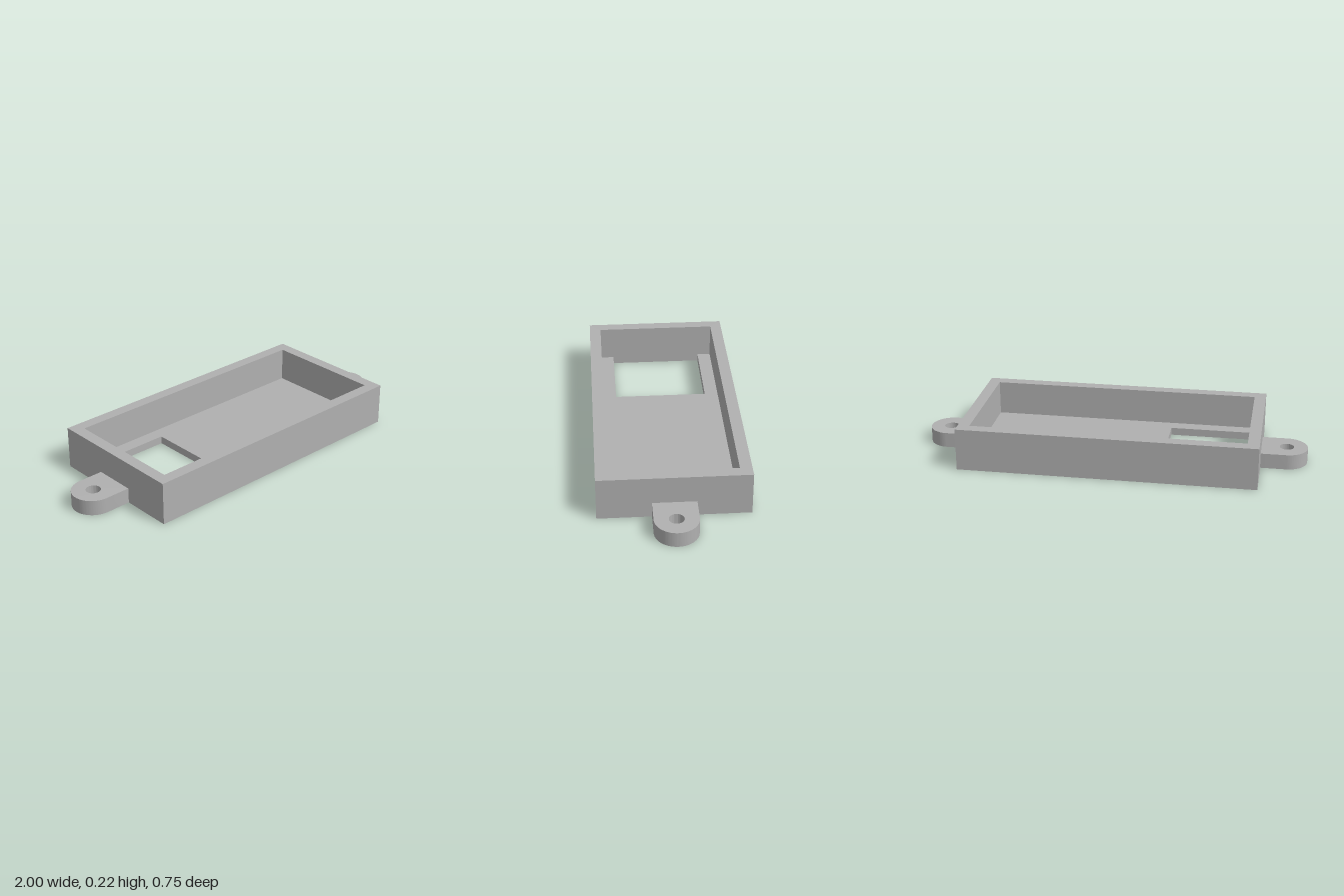
import * as THREE from 'three';
import { toCreasedNormals } from 'three/addons/utils/BufferGeometryUtils.js';

const HALF_X = 0.763, HALF_Z = 0.373;     // outer case
const IN_X = 0.703, IN_Z = 0.313;         // inner cavity
const HEIGHT = 0.22, FLOOR = 0.04;
const TAB_R = 0.108, TAB_H = 0.079, HOLE_R = 0.037;

// Rectangle outline in plan
function rect(Type, x0, x1, z0, z1) {
  const p = new Type();
  p.moveTo(x0, z0);
  p.lineTo(x1, z0);
  p.lineTo(x1, z1);
  p.lineTo(x0, z1);
  p.closePath();
  return p;
}

// Extrude a plan outline upward from height y
function slab(name, shape, y, height, material) {
  const geo = new THREE.ExtrudeGeometry(shape, { depth: height, bevelEnabled: false, curveSegments: 32 });
  geo.rotateX(-Math.PI / 2);
  geo.translate(0, y, 0);
  const mesh = new THREE.Mesh(toCreasedNormals(geo, 0.6), material);
  mesh.name = name;
  return mesh;
}

export function createModel() {
  const model = new THREE.Group();
  model.name = 'mountingCase';
  const grey = new THREE.MeshStandardMaterial({ color: 0xb0b0b0 });
  grey.name = 'grey plastic';

  // Floor with the rectangular window against the right wall
  const floor = rect(THREE.Shape, -HALF_X, HALF_X, -HALF_Z, HALF_Z);
  floor.holes.push(rect(THREE.Path, -IN_X, -0.265, -0.243, 0.243));
  model.add(slab('floor', floor, 0, FLOOR, grey));

  // Wall frame standing on the floor
  const walls = rect(THREE.Shape, -HALF_X, HALF_X, -HALF_Z, HALF_Z);
  walls.holes.push(rect(THREE.Path, -IN_X, IN_X, -IN_Z, IN_Z));
  model.add(slab('walls', walls, FLOOR, HEIGHT - FLOOR, grey));

  // Rounded screw tabs at both ends
  for (const [name, turn] of [['leftTab', 0], ['rightTab', Math.PI]]) {
    const cx = 1 - TAB_R;
    const tab = new THREE.Shape();
    tab.moveTo(HALF_X, -TAB_R);
    tab.lineTo(cx, -TAB_R);
    tab.absarc(cx, 0, TAB_R, -Math.PI / 2, Math.PI / 2, false);
    tab.lineTo(HALF_X, TAB_R);
    tab.closePath();
    const hole = new THREE.Path();
    hole.absarc(cx, 0, HOLE_R, 0, Math.PI * 2, true);
    tab.holes.push(hole);
    const mesh = slab(name, tab, 0, TAB_H, grey);
    mesh.rotation.y = turn;
    model.add(mesh);
  }
  return model;
}
